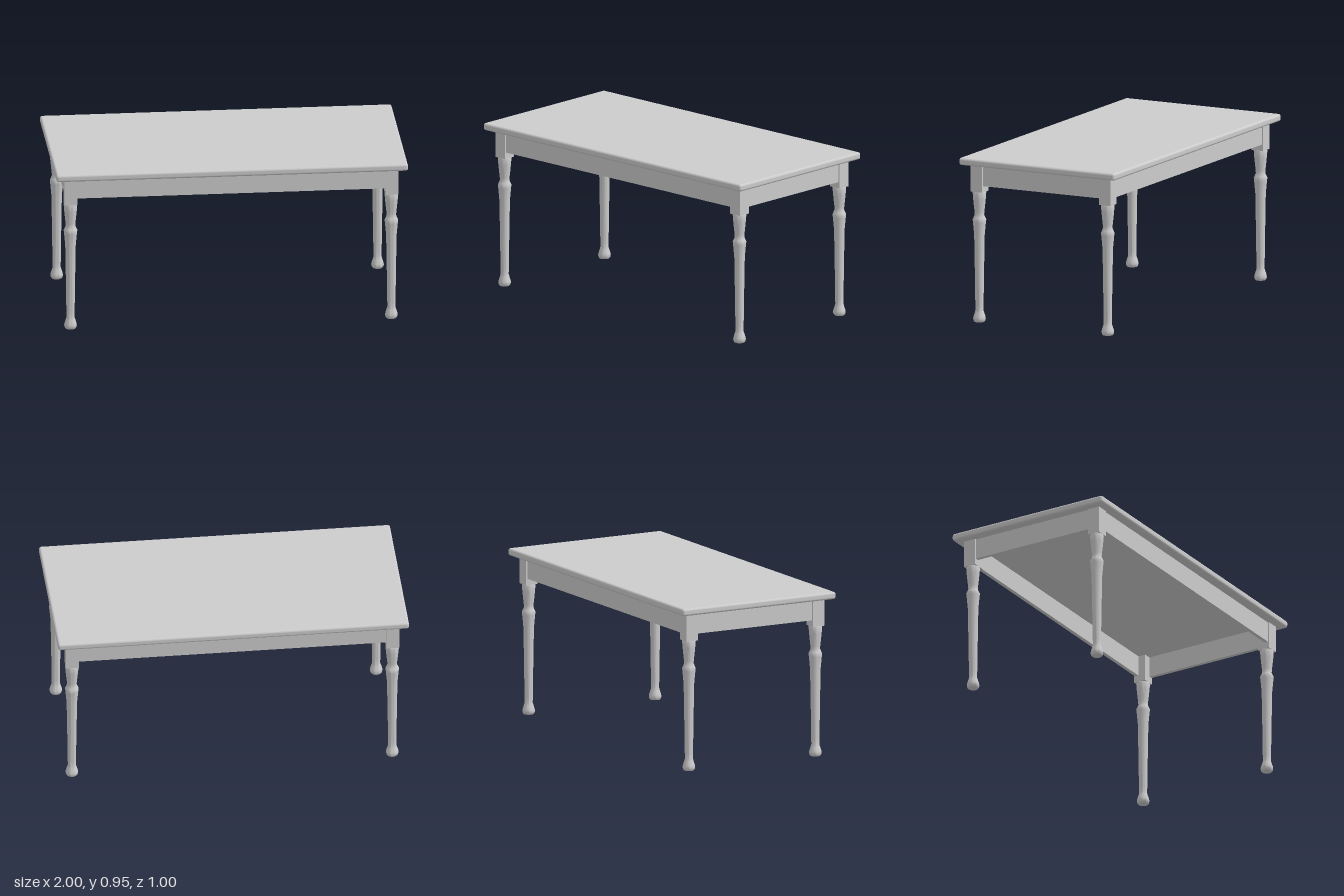
import * as THREE from 'three';
import { RoundedBoxGeometry } from 'three/addons/geometries/RoundedBoxGeometry.js';
import { toCreasedNormals } from 'three/addons/utils/BufferGeometryUtils.js';

export function createModel() {
  const table = new THREE.Group();
  table.name = 'table';
  const material = new THREE.MeshStandardMaterial({ color: 0xcccccc });

  const add = (parent, name, geometry, x, y, z) => {
    const mesh = new THREE.Mesh(geometry, material);
    mesh.name = name;
    mesh.position.set(x, y, z);
    parent.add(mesh);
    return mesh;
  };

  const TOP_Y = 0.952, UNDER_Y = 0.91;
  const LEG_X = 0.9125, LEG_Z = 0.4125, BLOCK = 0.075, BLOCK_Y = 0.753;

  // Table top with softly rounded edges
  add(table, 'tableTop', new RoundedBoxGeometry(2, TOP_Y - UNDER_Y, 1, 4, 0.014),
    0, (TOP_Y + UNDER_Y) / 2, 0);

  // Turned leg profile: radius, height
  const profile = [
    [0, 0], [0.028, 0], [0.033, 0.006], [0.036, 0.018], [0.034, 0.03],
    [0.027, 0.052], [0.023, 0.066], [0.0235, 0.1], [0.0265, 0.3],
    [0.03, 0.5], [0.037, 0.575], [0.039, 0.59], [0.033, 0.603],
    [0.027, 0.617], [0.028, 0.635], [0.032, 0.67], [0.036, 0.71],
    [0.039, 0.748], [0.037, BLOCK_Y], [0, BLOCK_Y],
  ].map(([r, y]) => new THREE.Vector2(r, y));
  const turning = toCreasedNormals(new THREE.LatheGeometry(profile, 32), 0.7);
  const block = new THREE.BoxGeometry(BLOCK, UNDER_Y - BLOCK_Y, BLOCK);

  // Four legs, each a square block over a turned post
  for (const sx of [-1, 1]) {
    for (const sz of [-1, 1]) {
      const leg = new THREE.Group();
      leg.name = `${sz > 0 ? 'front' : 'back'}${sx > 0 ? 'Left' : 'Right'}Leg`;
      leg.position.set(sx * LEG_X, 0, sz * LEG_Z);
      add(leg, 'turnedPost', turning, 0, 0, 0);
      add(leg, 'legBlock', block, 0, (UNDER_Y + BLOCK_Y) / 2, 0);
      table.add(leg);
    }
  }

  // Apron boards between the blocks, set slightly back from their outer faces
  const APRON_Y = 0.79, THICK = 0.022, RECESS = 0.008;
  const height = UNDER_Y - APRON_Y, midY = (UNDER_Y + APRON_Y) / 2;
  const inset = BLOCK / 2 - RECESS - THICK / 2;
  const longApron = new THREE.BoxGeometry(2 * LEG_X - BLOCK, height, THICK);
  const shortApron = new THREE.BoxGeometry(THICK, height, 2 * LEG_Z - BLOCK);
  for (const s of [-1, 1]) {
    add(table, s > 0 ? 'frontApron' : 'backApron', longApron, 0, midY, s * (LEG_Z + inset));
    add(table, s > 0 ? 'leftApron' : 'rightApron', shortApron, s * (LEG_X + inset), midY, 0);
  }

  return table;
}
